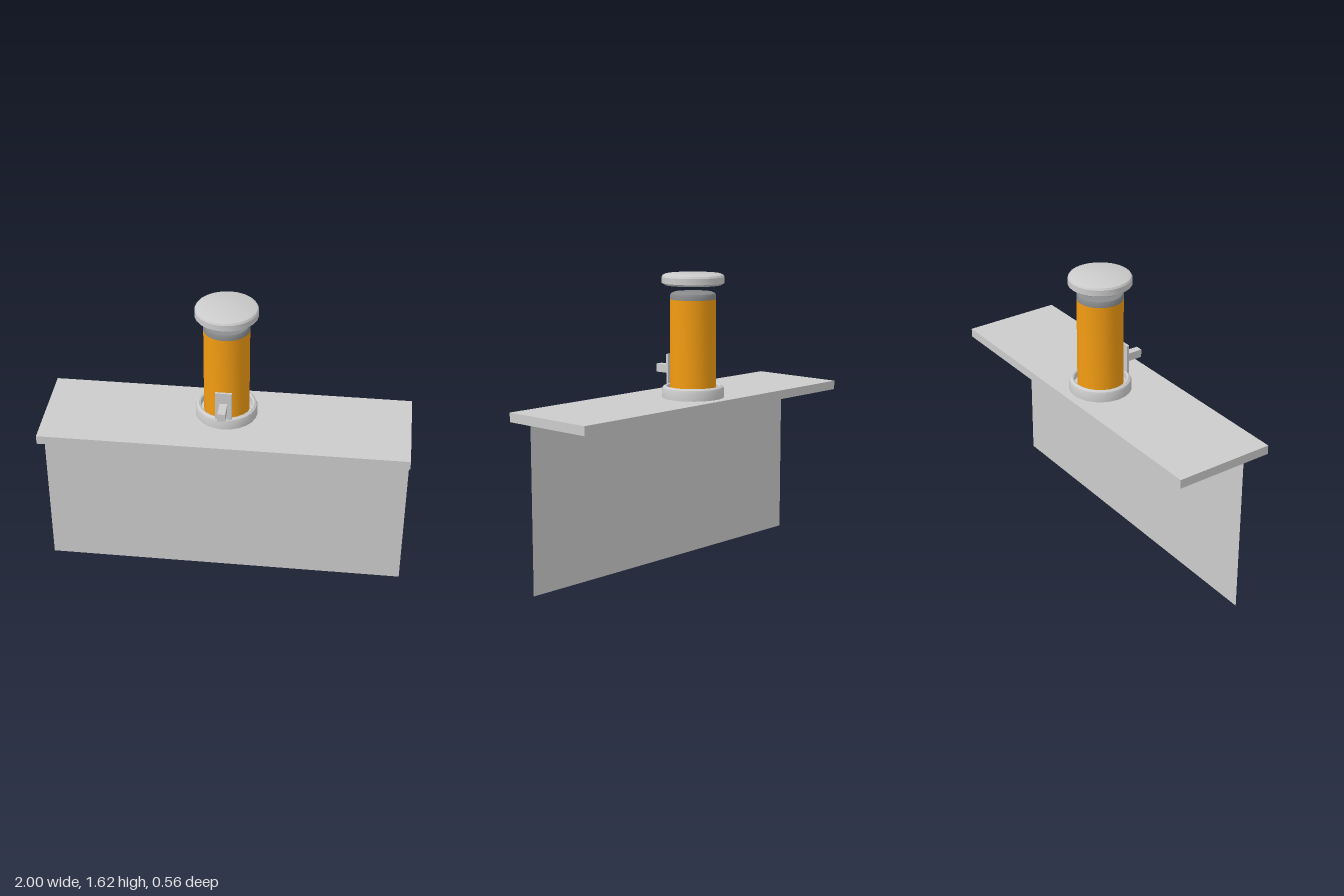
import * as THREE from 'three';
import { toCreasedNormals } from 'three/addons/utils/BufferGeometryUtils.js';

const grey = new THREE.MeshStandardMaterial({ color: 0xcccccc });
const greyDouble = new THREE.MeshStandardMaterial({ color: 0xcccccc, side: THREE.DoubleSide });
const darkGrey = new THREE.MeshStandardMaterial({ color: 0x888a8c });
const orange = new THREE.MeshStandardMaterial({ color: 0xf39c12 });

export function createModel() {
  const model = new THREE.Group();

  const add = (parent, name, geometry, material, x = 0, y = 0, z = 0) => {
    const mesh = new THREE.Mesh(geometry, material);
    mesh.name = name;
    mesh.position.set(x, y, z);
    parent.add(mesh);
  };

  // Turned part from [radius, height] points, bottom to top
  const turned = (points) => toCreasedNormals(
    new THREE.LatheGeometry(points.map(([r, y]) => new THREE.Vector2(r, y)), 24), 0.5);

  // Counter: slab on a thin upright front panel
  add(model, 'counterTop', new THREE.BoxGeometry(2, 0.05, 0.56), grey, 0, 0.92, 0);
  add(model, 'counterPanel', new THREE.PlaneGeometry(2, 0.9), greyDouble, 0, 0.45, 0.12);

  // Dispenser standing slightly behind the middle of the counter
  const dispenser = new THREE.Group();
  dispenser.name = 'dispenser';
  dispenser.position.set(-0.01, 0, -0.065);
  model.add(dispenser);

  // Base dish with a bevelled rim around a shallow recess
  add(dispenser, 'base', turned([
    [0, 0.945], [0.17, 0.945], [0.17, 0.99], [0.165, 1.002], [0.152, 1.01],
    [0.143, 1.005], [0.14, 0.975], [0, 0.975],
  ]), grey);

  // Coloured container and its bevelled shoulder
  add(dispenser, 'container', turned([
    [0, 0.97], [0.125, 0.97], [0.125, 1.48], [0, 1.48],
  ]), orange);
  add(dispenser, 'shoulder', turned([
    [0, 1.48], [0.125, 1.48], [0.125, 1.5], [0.12, 1.511], [0.105, 1.518], [0, 1.518],
  ]), darkGrey);

  // Floating lid, hollowed underneath
  add(dispenser, 'lid', turned([
    [0, 1.58], [0.14, 1.58], [0.143, 1.56], [0.152, 1.556], [0.17, 1.567],
    [0.17, 1.6], [0.164, 1.61], [0.15, 1.616], [0, 1.616],
  ]), grey);

  // Tap: upright back plate with a square spout
  const tap = new THREE.Group();
  tap.name = 'tap';
  tap.position.set(-0.01, 0, 0);
  model.add(tap);
  add(tap, 'tapPlate', new THREE.BoxGeometry(0.09, 0.19, 0.013), grey, 0, 1.075, 0.087);
  add(tap, 'tapSpout', new THREE.BoxGeometry(0.042, 0.045, 0.1), grey, 0, 1.083, 0.143);

  return model;
}
